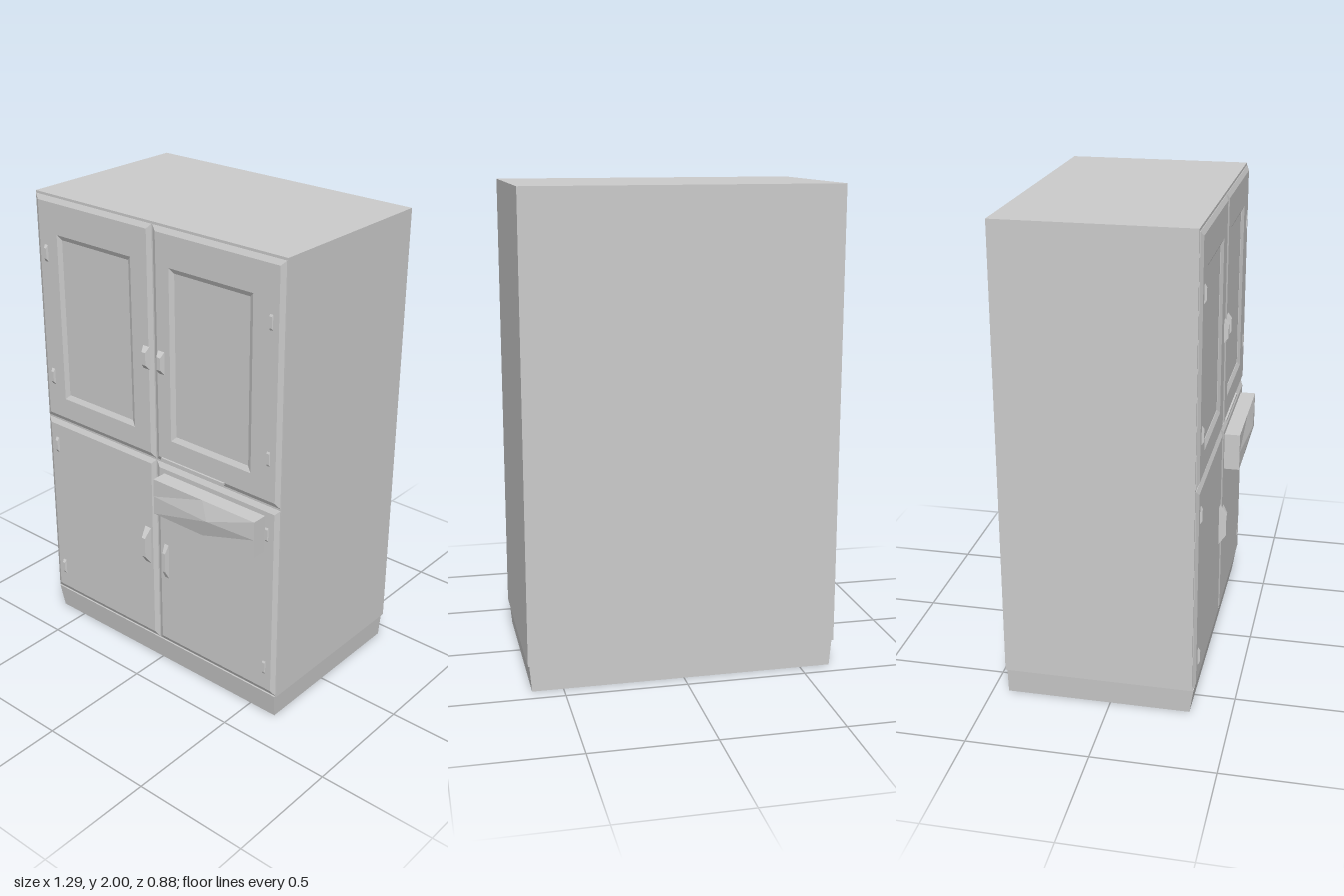
import * as THREE from 'three';

const mat = new THREE.MeshStandardMaterial({ color: 0xcccccc, flatShading: true });

export function createModel() {
  const cabinet = new THREE.Group();
  cabinet.name = 'cupboard';

  const add = (name, geo, x = 0, y = 0, z = 0) => {
    const mesh = new THREE.Mesh(geo, mat);
    mesh.name = name;
    mesh.position.set(x, y, z);
    cabinet.add(mesh);
    return mesh;
  };

  // Box given by its limits; an optional rule moves each vertex
  const block = (name, x0, x1, y0, y1, z0, z1, rule, seg = 1) => {
    const geo = new THREE.BoxGeometry(x1 - x0, y1 - y0, z1 - z0, seg, seg, 1);
    geo.translate((x0 + x1) / 2, (y0 + y1) / 2, (z0 + z1) / 2);
    if (rule) {
      const p = geo.attributes.position;
      const v = new THREE.Vector3();
      for (let i = 0; i < p.count; i++) {
        rule(v.fromBufferAttribute(p, i));
        p.setXYZ(i, v.x, v.y, v.z);
      }
      geo.computeVertexNormals();
    }
    return add(name, geo);
  };

  const rect = (Type, x0, x1, y0, y1) => new Type([
    new THREE.Vector2(x0, y0), new THREE.Vector2(x1, y0),
    new THREE.Vector2(x1, y1), new THREE.Vector2(x0, y1),
  ]);

  // Thin door with bevelled edges and an optional recessed panel
  const door = (name, x0, x1, y0, y1, hole) => {
    const b = 0.02;
    const shape = rect(THREE.Shape, x0 + b, x1 - b, y0 + b, y1 - b);
    if (hole) {
      const [a, c, d, e] = hole;
      shape.holes.push(rect(THREE.Path, a - b, c + b, d - b, e + b));
    }
    const geo = new THREE.ExtrudeGeometry(shape, {
      depth: 0.002, bevelEnabled: true, bevelThickness: 0.01, bevelSize: b, bevelSegments: 1,
    });
    add(name, geo, 0, 0, 0.342);
  };

  // Carcass and tapered plinth
  block('carcass', -0.643, 0.643, 0.11, 2, -0.44, 0.341);
  block('plinth', -0.637, 0.637, 0, 0.11, -0.434, 0.347, (v) => {
    if (v.y < 0.05) {
      v.x *= 0.985;
      if (v.z > 0) v.z = 0.33;
    }
  });

  // Upper panelled doors and plain lower doors
  door('upperRightDoor', -0.64, -0.003, 1.0, 1.99, [-0.5, -0.13, 1.13, 1.82]);
  door('upperLeftDoor', 0.003, 0.64, 1.0, 1.99, [0.11, 0.48, 1.13, 1.82]);
  door('lowerRightDoor', -0.64, -0.003, 0.115, 0.99);
  door('lowerLeftDoor', 0.003, 0.64, 0.115, 0.99);

  // Protruding drawer with a shallow pyramid front
  block('drawer', 0.05, 0.575, 0.79, 0.95, 0.34, 0.42, (v) => {
    if (v.z > 0.4 && Math.abs(v.x - 0.3125) < 0.01 && Math.abs(v.y - 0.87) < 0.01) {
      v.set(0.35, 0.875, 0.44);
    }
  }, 2);

  // Ledge above the drawer
  block('drawerLedge', 0.04, 0.37, 1.012, 1.022, 0.345, 0.362);

  // Wedge-shaped pulls: the outer face narrows toward its crest
  const pull = (name, x, y0, y1, w, depth) => {
    const mid = (y0 + y1) / 2;
    block(name, x - w, x + w, y0, y1, 0.345, 0.345 + depth, (v) => {
      if (v.z > 0.35) {
        v.x = x + (v.x - x) * 0.5;
        v.y = mid + (v.y - mid) * 0.45;
      }
    });
  };
  pull('upperRightHandle', -0.035, 1.38, 1.5, 0.02, 0.027);
  pull('upperLeftHandle', 0.045, 1.38, 1.5, 0.02, 0.027);
  pull('lowerRightHandle', -0.05, 0.47, 0.67, 0.018, 0.04);
  pull('lowerLeftHandle', 0.055, 0.43, 0.63, 0.014, 0.028);

  // Outer hinges
  for (const side of [-1, 1]) {
    for (const y of [0.24, 0.87, 1.2, 1.75]) {
      pull('hinge', side * 0.585, y - 0.05, y + 0.05, 0.012, side < 0 ? 0.018 : 0.013);
    }
  }
  return cabinet;
}
